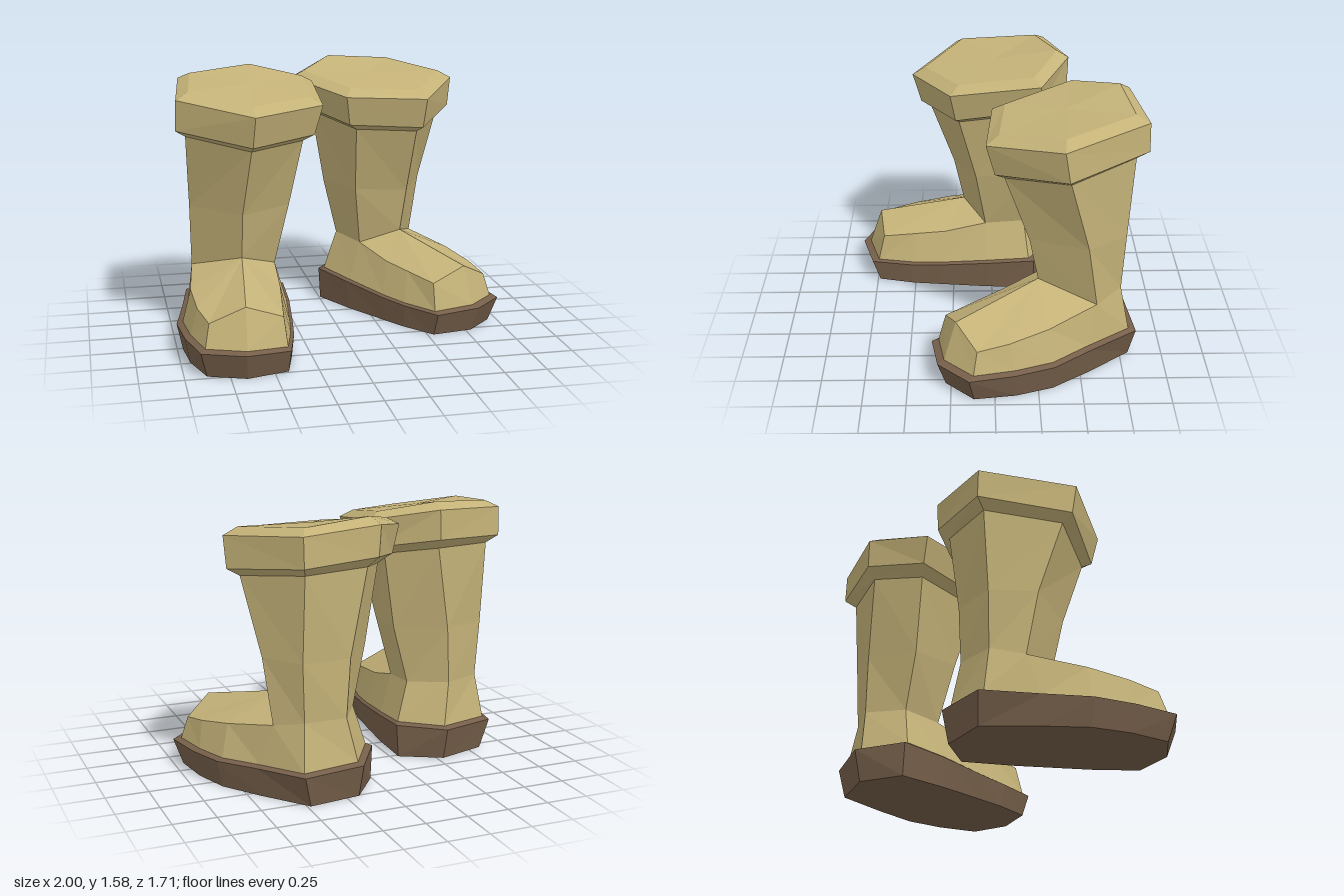
import * as THREE from 'three';

const V = (x, y, z) => new THREE.Vector3(x, y, z);
const ring = (pts) => pts.map((p) => V(...p));

// Rings run back -> outer side -> front -> inner side (the right boot's own layout)
const soleBottom = ring([
  [-0.54, 0, -0.4], [-0.835, 0, -0.31], [-0.915, 0, 0], [-0.967, 0, 0.265],
  [-0.945, 0, 0.49], [-0.875, 0, 0.72], [-0.66, 0, 0.8], [-0.42, 0, 0.735],
  [-0.365, 0, 0.51], [-0.345, 0, 0.34], [-0.31, 0, 0.03], [-0.298, 0, -0.27],
]);
const soleEdge = ring([
  [-0.545, 0.19, -0.44], [-0.89, 0.18, -0.325], [-0.945, 0.17, 0], [-1, 0.16, 0.27],
  [-0.975, 0.155, 0.51], [-0.91, 0.15, 0.765], [-0.67, 0.15, 0.855], [-0.412, 0.135, 0.78],
  [-0.355, 0.14, 0.535], [-0.33, 0.15, 0.35], [-0.295, 0.18, 0.02], [-0.285, 0.2, -0.27],
]);
const footEdge = ring([
  [-0.59, 0.46, -0.35], [-0.82, 0.46, -0.25], [-0.875, 0.42, -0.06], [-0.915, 0.365, 0.27],
  [-0.9, 0.325, 0.51], [-0.855, 0.295, 0.69], [-0.655, 0.39, 0.73], [-0.44, 0.31, 0.7],
  [-0.415, 0.34, 0.48], [-0.395, 0.365, 0.3], [-0.385, 0.43, 0.04], [-0.38, 0.45, -0.205],
]);
const instep = V(-0.6, 0.51, 0.18);
const ankle = [footEdge[0], footEdge[1], footEdge[2], instep, footEdge[10], footEdge[11]];
const calf = ring([
  [-0.57, 0.8, -0.36], [-0.84, 0.8, -0.26], [-0.886, 0.8, 0.01],
  [-0.6, 0.78, 0.24], [-0.305, 0.8, 0.1], [-0.285, 0.8, -0.21],
]);
const shaftTop = ring([
  [-0.48, 1.3, -0.4], [-0.85, 1.29, -0.29], [-0.91, 1.24, 0.15],
  [-0.56, 1.18, 0.38], [-0.235, 1.2, 0.2], [-0.208, 1.26, -0.235],
]);
const cuffLower = ring([
  [-0.46, 1.36, -0.465], [-0.905, 1.34, -0.34], [-0.97, 1.28, 0.19],
  [-0.56, 1.21, 0.44], [-0.17, 1.235, 0.22], [-0.135, 1.31, -0.28],
]);
const cuffUpper = ring([
  [-0.45, 1.535, -0.47], [-0.905, 1.51, -0.335], [-0.965, 1.46, 0.22],
  [-0.55, 1.39, 0.49], [-0.125, 1.41, 0.25], [-0.09, 1.475, -0.29],
]);
const cuffRim = ring([
  [-0.46, 1.575, -0.4], [-0.84, 1.545, -0.28], [-0.89, 1.505, 0.18],
  [-0.55, 1.44, 0.41], [-0.19, 1.455, 0.2], [-0.16, 1.515, -0.25],
]);

// Narrow ledge on the sole, where the foot begins
const soleLedge = soleEdge.map((p) =>
  V(-0.55 + (p.x + 0.55) * 0.92, p.y + 0.012, 0.2 + (p.z - 0.2) * 0.93));

// Triangles between successive rings
function loft(...rings) {
  const tris = [];
  for (let k = 0; k + 1 < rings.length; k++) {
    const a = rings[k], b = rings[k + 1], n = a.length;
    for (let i = 0; i < n; i++) {
      const j = (i + 1) % n;
      tris.push(a[i], a[j], b[j], a[i], b[j], b[i]);
    }
  }
  return tris;
}

// Triangles from a centre point along a line of points
function fan(center, pts) {
  const tris = [];
  for (let i = 0; i + 1 < pts.length; i++) tris.push(center, pts[i], pts[i + 1]);
  return tris;
}

function cap(r) {
  const center = r.reduce((s, p) => s.add(p), V(0, 0, 0)).divideScalar(r.length);
  return fan(center, [...r, r[0]]);
}

function part(name, tris, material, mirrored) {
  const pts = [];
  for (let i = 0; i < tris.length; i += 3) {
    const [a, b, c] = tris.slice(i, i + 3);
    pts.push(...(mirrored ? [a, c, b] : [a, b, c]).map((p) => V(mirrored ? -p.x : p.x, p.y, p.z)));
  }
  const geometry = new THREE.BufferGeometry().setFromPoints(pts);
  geometry.computeVertexNormals();
  const mesh = new THREE.Mesh(geometry, material);
  mesh.name = name;
  return mesh;
}

export function createModel() {
  const leather = new THREE.MeshStandardMaterial({ color: 0xc4b278 });
  leather.name = 'tan leather';
  const rubber = new THREE.MeshStandardMaterial({ color: 0x765f4a });
  rubber.name = 'brown sole';

  function makeBoot(name, mirrored) {
    const boot = new THREE.Group();
    boot.name = name;
    const sole = [...cap([...soleBottom].reverse()), ...loft(soleBottom, soleEdge, soleLedge)];
    const foot = [...loft(soleLedge, footEdge), ...fan(instep, footEdge.slice(2, 11))];
    const cuff = [...loft(shaftTop, cuffLower, cuffUpper, cuffRim), ...cap(cuffRim)];
    boot.add(
      part('sole', sole, rubber, mirrored),
      part('foot', foot, leather, mirrored),
      part('shaft', loft(ankle, calf, shaftTop), leather, mirrored),
      part('cuff', cuff, leather, mirrored),
    );
    return boot;
  }

  const model = new THREE.Group();
  model.name = 'boots';
  const left = makeBoot('leftBoot', true);
  // Left boot stands further back with its toe turned out
  left.rotation.y = 0.43;
  left.position.set(-0.15, 0, -0.171);
  model.add(makeBoot('rightBoot', false), left);
  return model;
}
